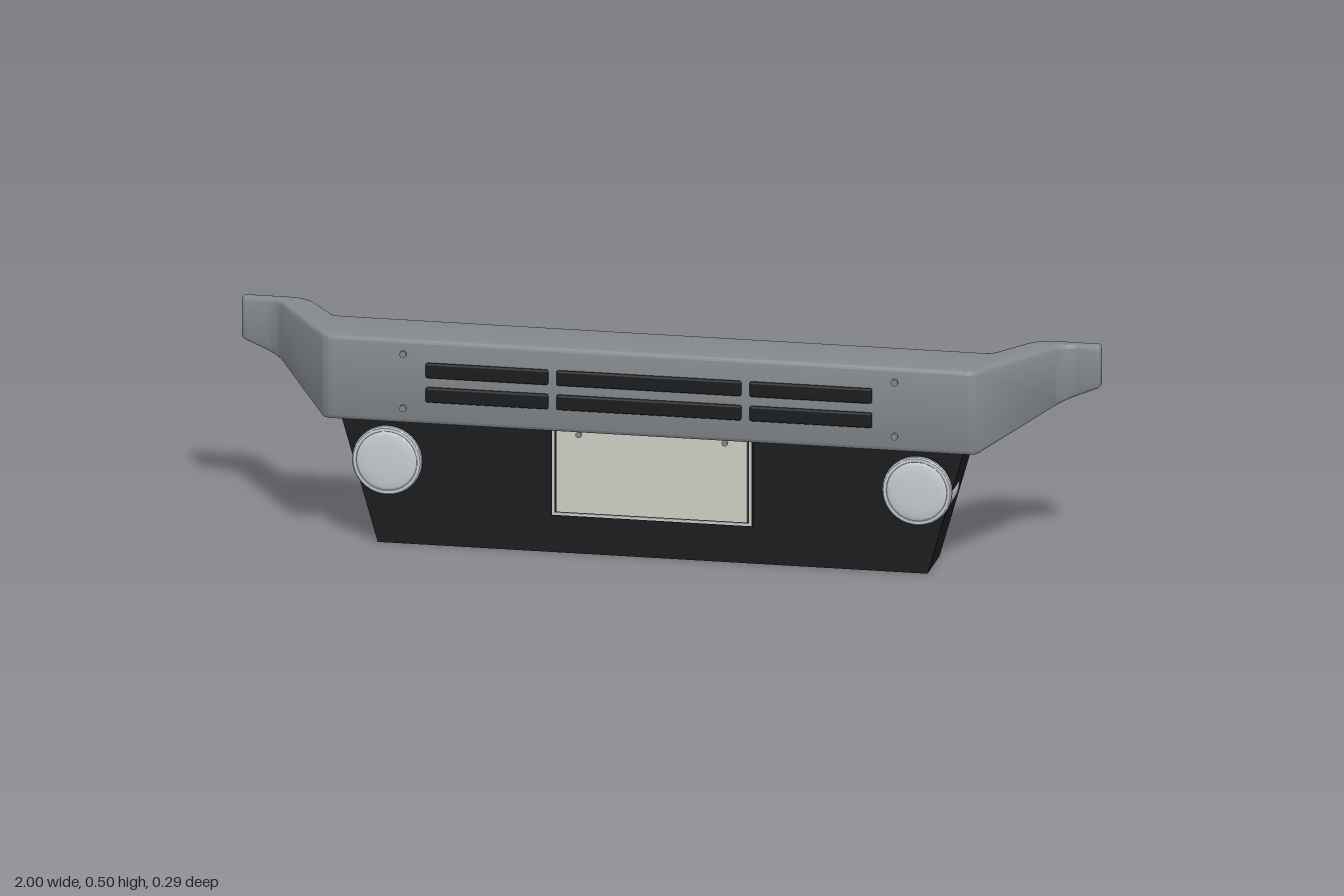
import * as THREE from 'three';
import { toCreasedNormals } from 'three/addons/utils/BufferGeometryUtils.js';
import { RoundedBoxGeometry } from 'three/addons/geometries/RoundedBoxGeometry.js';

const grey = new THREE.MeshStandardMaterial({ color: 0xcccccc });
const steel = new THREE.MeshStandardMaterial({ color: 0x85898c });
const black = new THREE.MeshStandardMaterial({ color: 0x1b1c1e });
const glass = new THREE.MeshStandardMaterial({ color: 0xc8ccd2 });
const cream = new THREE.MeshStandardMaterial({ color: 0xcfd0c4 });

// Closed outline through [x, y, cornerRadius] points
function roundedOutline(points) {
  const out = [];
  points.forEach(([x, y, r], i) => {
    const n = points.length;
    const p = new THREE.Vector2(x, y);
    const a = new THREE.Vector2(...points[(i + n - 1) % n].slice(0, 2));
    const b = new THREE.Vector2(...points[(i + 1) % n].slice(0, 2));
    const start = p.clone().add(a.sub(p).setLength(r));
    const end = p.clone().add(b.sub(p).setLength(r));
    out.push(...new THREE.QuadraticBezierCurve(start, p, end).getPoints(5));
  });
  return new THREE.Shape(out);
}

export function createModel() {
  const model = new THREE.Group();
  const add = (name, geometry, material, x = 0, y = 0, z = 0, parent = model) => {
    const mesh = new THREE.Mesh(geometry, material);
    mesh.name = name;
    mesh.position.set(x, y, z);
    parent.add(mesh);
    return mesh;
  };

  // Bumper: plan outline (x, -z), extruded upwards
  const half = [
    [0.757, -0.139, 0.02], [0.917, 0.116, 0.03], [1, 0.116, 0.011],
    [1, 0.146, 0.011], [0.85, 0.146, 0.045], [0.765, 0.022, 0.015],
  ];
  const mirrored = half.map(([x, y, r]) => [-x, y, r]).reverse();
  const bevel = 0.009;
  let bumper = new THREE.ExtrudeGeometry(roundedOutline([...half, ...mirrored]), {
    depth: 0.2 - 2 * bevel, steps: 1, bevelEnabled: true, bevelSize: bevel,
    bevelOffset: -bevel, bevelThickness: bevel, bevelSegments: 3,
  });
  bumper.rotateX(-Math.PI / 2);
  bumper.translate(0, 0.3 + bevel, 0);
  // The underside of each wing rises towards its tip
  const pos = bumper.attributes.position;
  for (let i = 0; i < pos.count; i++) {
    const rise = Math.max(0, Math.abs(pos.getX(i)) - 0.76) / 0.24 * 0.1;
    if (pos.getY(i) < 0.4) pos.setY(i, pos.getY(i) + rise);
  }
  bumper = toCreasedNormals(bumper, 0.65);
  add('bumper', bumper, steel);

  // Lower body: tapered block
  const taper = new THREE.Shape([
    new THREE.Vector2(-0.64, 0), new THREE.Vector2(0.64, 0),
    new THREE.Vector2(0.725, 0.297), new THREE.Vector2(-0.725, 0.297),
  ]);
  add('lowerPanel', new THREE.ExtrudeGeometry(taper, { depth: 0.142, bevelEnabled: false }), black, 0, 0, -0.045);

  // Grille slots in two rows
  for (const y of [0.372, 0.43]) {
    for (const [x, width] of [[-0.377, 0.285], [0, 0.43], [0.377, 0.285]]) {
      add('grilleSlot', new RoundedBoxGeometry(width, 0.036, 0.016, 2, 0.005), black, x, y, 0.139);
    }
  }

  // Bolts on the bumper and the plate
  const addBolt = (x, y, z, r) => {
    const bolt = new THREE.CylinderGeometry(r, r, 0.014, 16);
    bolt.rotateX(Math.PI / 2);
    add('bolt', bolt, steel, x, y, z);
  };
  for (const s of [-1, 1]) {
    for (const y of [0.337, 0.466]) addBolt(s * 0.572, y, 0.14, 0.008);
    addBolt(s * 0.17, 0.287, 0.104, 0.007);
  }

  // Blank number plate in a thin frame
  add('plateFrame', new THREE.BoxGeometry(0.47, 0.21, 0.01), black, 0, 0.195, 0.1);
  const rim = new THREE.Shape([[-0.232, 0.092], [0.232, 0.092], [0.232, 0.299], [-0.232, 0.299]].map(p => new THREE.Vector2(...p)));
  rim.holes.push(new THREE.Path([[-0.226, 0.098], [-0.226, 0.296], [0.226, 0.296], [0.226, 0.098]].map(p => new THREE.Vector2(...p))));
  add('plateRim', new THREE.ExtrudeGeometry(rim, { depth: 0.003, bevelEnabled: false }), grey, 0, 0, 0.104);
  add('numberPlate', new THREE.BoxGeometry(0.444, 0.196, 0.008), cream, 0, 0.198, 0.102);

  // Round lamps: housing through the panel, rim and shallow domed lens
  const lensProfile = [[0.081, 0], [0.081, 0.009], [0.078, 0.012], [0.071, 0.012]];
  for (let i = 0; i <= 8; i++) {
    const a = i / 8 * Math.PI / 2;
    lensProfile.push([0.07 * Math.cos(a), 0.011 + 0.007 * Math.sin(a)]);
  }
  for (const s of [-1, 1]) {
    const lamp = new THREE.Group();
    lamp.name = s > 0 ? 'leftLamp' : 'rightLamp';
    lamp.position.set(s * 0.617, 0.198, 0);
    const housing = new THREE.CylinderGeometry(0.08, 0.08, 0.088, 40);
    housing.rotateX(Math.PI / 2);
    add('lampHousing', housing, grey, 0, 0, 0.054, lamp);
    const lens = new THREE.LatheGeometry(lensProfile.map(p => new THREE.Vector2(...p)), 40);
    lens.rotateX(Math.PI / 2);
    add('lampLens', toCreasedNormals(lens, 0.6), glass, 0, 0, 0.097, lamp);
    model.add(lamp);
  }
  return model;
}
